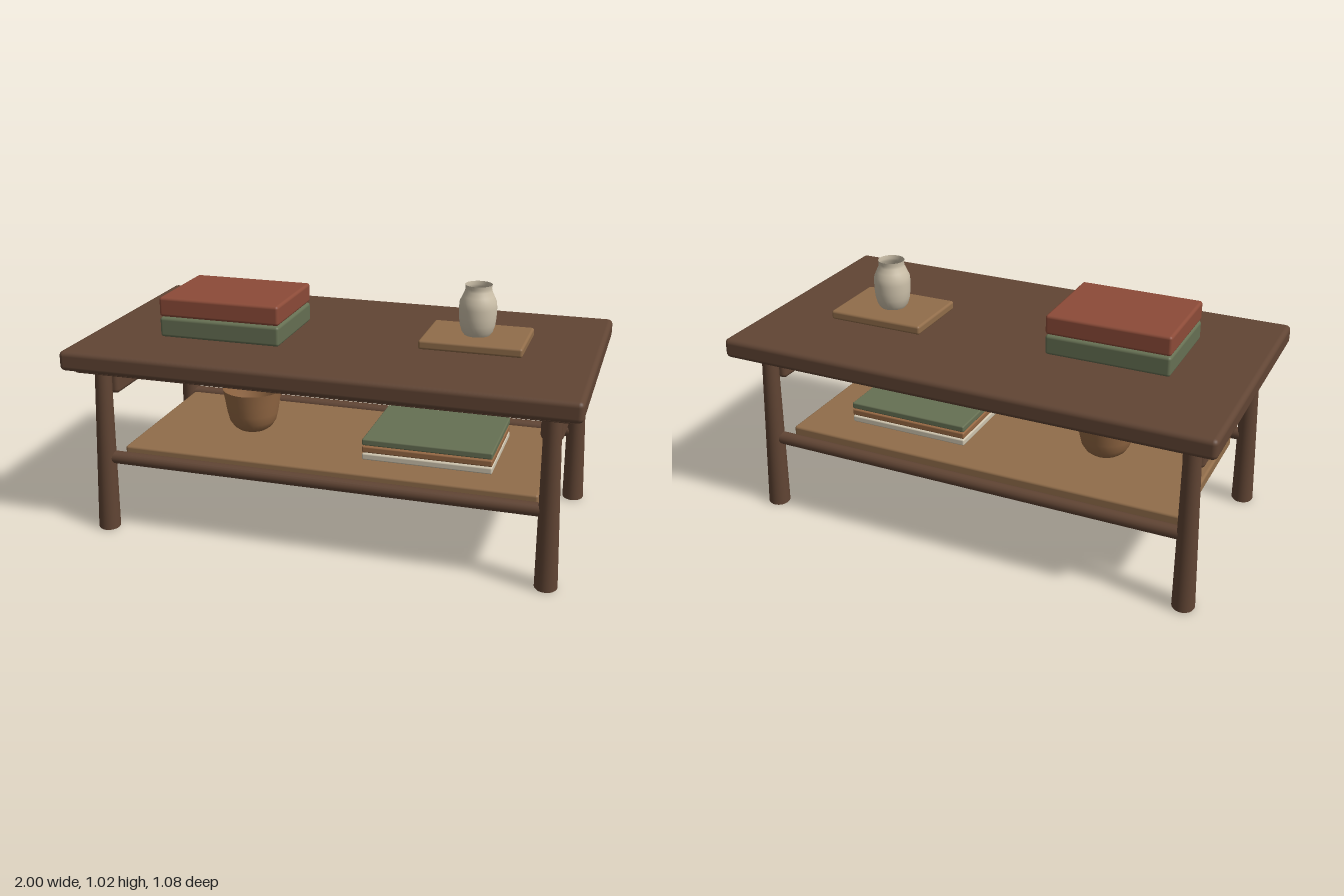
import * as THREE from 'three';
import { RoundedBoxGeometry } from 'three/addons/geometries/RoundedBoxGeometry.js';

function material(name, color, side = THREE.FrontSide) {
  const m = new THREE.MeshStandardMaterial({ color, side });
  m.name = name;
  return m;
}

export function createModel() {
  const group = new THREE.Group();
  const walnut = material('walnut', 0x614534);
  const oak = material('oak', 0x916d4a);
  const red = material('brickRed', 0x8c4b38);
  const green = material('sageGreen', 0x667053);
  const cream = material('cream', 0xcfc5af);
  const leather = material('tanCover', 0x966843);
  const ceramic = material('ceramic', 0xcdc1aa, THREE.DoubleSide);
  const bowlWood = material('bowlWood', 0x966a45, THREE.DoubleSide);

  function add(name, geometry, mat, x = 0, y = 0, z = 0) {
    const mesh = new THREE.Mesh(geometry, mat);
    mesh.name = name;
    mesh.position.set(x, y, z);
    group.add(mesh);
    return mesh;
  }
  // Rounded slab standing on height y0
  function slab(name, mat, w, y0, y1, d, r, x = 0, z = 0) {
    return add(name, new RoundedBoxGeometry(w, y1 - y0, d, 3, r), mat, x, (y0 + y1) / 2, z);
  }
  function lathe(points, segments) {
    return new THREE.LatheGeometry(points.map(([r, y]) => new THREE.Vector2(r, y)), segments);
  }

  // Table top with a recessed panel beneath
  slab('tableTop', walnut, 2, 0.7, 0.78, 1.08, 0.02);
  slab('underPanel', walnut, 1.91, 0.683, 0.705, 0.99, 0.006);

  // Tapered legs, splayed outward toward the floor
  for (const sx of [-1, 1]) {
    for (const sz of [-1, 1]) {
      const leg = lathe([[0, 0], [0.04, 0], [0.044, 0.006], [0.032, 0.69], [0, 0.69]], 28);
      const p = leg.attributes.position;
      for (let i = 0; i < p.count; i++) {
        const lean = 0.013 * (1 - p.getY(i) / 0.69);
        p.setX(i, p.getX(i) + sx * lean);
        p.setZ(i, p.getZ(i) + sz * lean);
      }
      leg.deleteAttribute('normal');
      const faceted = leg.toNonIndexed();
      // Radial normals on the sides, vertical normals on the end caps
      const q = faceted.attributes.position;
      const normals = new Float32Array(q.count * 3);
      for (let i = 0; i < q.count; i += 3) {
        const ys = [q.getY(i), q.getY(i + 1), q.getY(i + 2)];
        const flat = Math.max(...ys) - Math.min(...ys) < 1e-4;
        for (let k = 0; k < 3; k++) {
          const lean = 0.013 * (1 - ys[k] / 0.69);
          const n = flat
            ? new THREE.Vector3(0, ys[0] > 0.3 ? 1 : -1, 0)
            : new THREE.Vector3(q.getX(i + k) - sx * lean, 0, q.getZ(i + k) - sz * lean).normalize();
          n.toArray(normals, (i + k) * 3);
        }
      }
      faceted.setAttribute('normal', new THREE.BufferAttribute(normals, 3));
      add('leg', faceted, walnut, sx * 0.882, 0, sz * 0.409);
    }
    // End apron between the legs
    slab('endApron', walnut, 0.084, 0.568, 0.664, 0.766, 0.018, sx * 0.878);
  }

  // Long round rails carrying the shelf
  for (const sz of [-1, 1]) {
    const rail = add('shelfRail', new THREE.CylinderGeometry(0.026, 0.026, 1.76, 20), walnut, 0, 0.309, sz * 0.412);
    rail.rotation.z = Math.PI / 2;
  }
  slab('shelf', oak, 1.68, 0.284, 0.333, 0.695, 0.01);

  // Books on the table top
  slab('lowerBook', green, 0.5, 0.78, 0.86, 0.392, 0.012, -0.455, 0.052);
  slab('upperBook', red, 0.5, 0.863, 0.942, 0.392, 0.012, -0.455, 0.052);

  // Tray with an open vase
  slab('tray', oak, 0.405, 0.78, 0.817, 0.304, 0.01, 0.518, -0.037);
  add('vase', lathe([
    [0.05, 0.815], [0.062, 0.832], [0.07, 0.86], [0.073, 0.89], [0.074, 0.925],
    [0.072, 0.95], [0.062, 0.972], [0.053, 0.992], [0.051, 1.003], [0.053, 1.017],
  ], 32), ceramic, 0.518, 0, -0.035);

  // Bowl on the shelf
  add('bowl', lathe([
    [0, 0.335], [0.062, 0.335], [0.082, 0.35], [0.098, 0.375], [0.107, 0.41],
    [0.115, 0.46], [0.124, 0.51],
  ], 32), bowlWood, -0.417, 0, 0);

  // Thin books stacked on the shelf
  [cream, leather, green].forEach((mat, i) => {
    const y = 0.332 + i * 0.0305;
    slab('shelfBook', mat, 0.52, y, y + 0.027, 0.408, 0.006, 0.38, 0.001);
  });

  return group;
}
